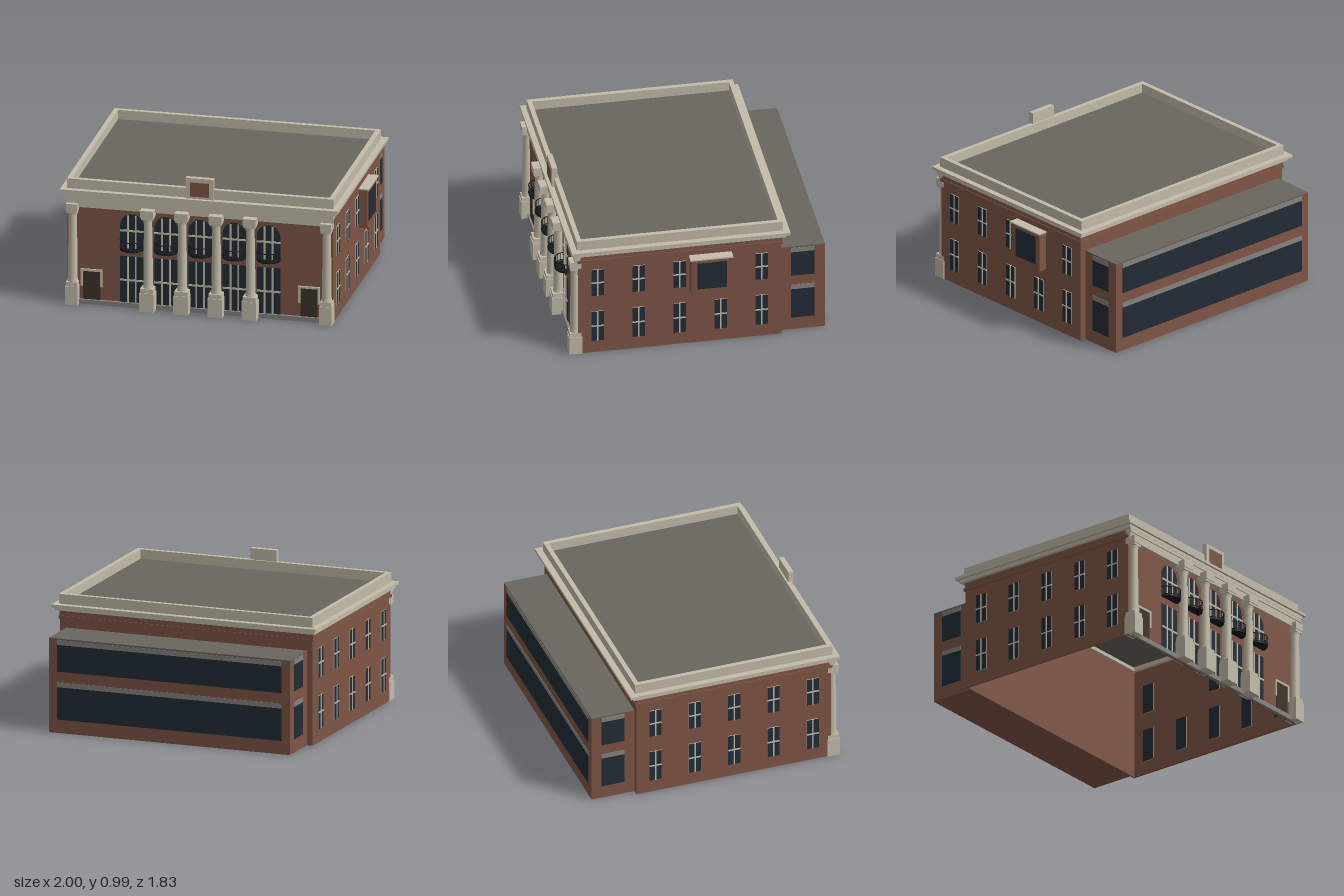
import * as THREE from 'three';

const mat = (name, color) => {
  const m = new THREE.MeshStandardMaterial({ color });
  m.name = name;
  return m;
};

export function createModel() {
  const brick = mat('brick', 0x7f5545);
  const stone = mat('stone', 0xc3bca9);
  const glass = mat('glass', 0x222d36);
  const roofing = mat('roofing', 0x69655e);
  const grey = mat('grey', 0x858481);
  const doorPaint = mat('doorPaint', 0x3b3429);
  const iron = mat('iron', 0x15191d);

  const model = new THREE.Group();
  model.name = 'building';
  model.position.x = -0.016;

  const add = (parent, name, geo, material) => {
    const m = new THREE.Mesh(geo, material);
    m.name = name;
    parent.add(m);
    return m;
  };
  const group = (name, x = 0, y = 0, z = 0) => {
    const g = new THREE.Group();
    g.name = name;
    g.position.set(x, y, z);
    model.add(g);
    return g;
  };
  // Box given by its limits on each axis
  const box = (parent, name, material, x0, x1, y0, y1, z0, z1) => {
    const m = add(parent, name, new THREE.BoxGeometry(x1 - x0, y1 - y0, z1 - z0), material);
    m.position.set((x0 + x1) / 2, (y0 + y1) / 2, (z0 + z1) / 2);
    return m;
  };
  // Rectangular ring running round the building
  const ring = (name, material, hx, zBack, zFront, t, y0, y1) => {
    const rect = (target, h, a, b) => {
      target.moveTo(-h, -b);
      target.lineTo(h, -b);
      target.lineTo(h, -a);
      target.lineTo(-h, -a);
      target.closePath();
      return target;
    };
    const s = rect(new THREE.Shape(), hx, zBack, zFront);
    s.holes.push(rect(new THREE.Path(), hx - t, zBack + t, zFront - t));
    const geo = new THREE.ExtrudeGeometry(s, { depth: y1 - y0, bevelEnabled: false });
    geo.rotateX(-Math.PI / 2);
    geo.translate(0, y0, 0);
    return add(model, name, geo, material);
  };

  // Hollow brick shell, brick string courses, cornice and parapet
  const WALL = 0.826, HALF = 0.94;
  ring('walls', brick, HALF, -0.6, WALL, 0.012, 0, 0.8);
  ring('lowerBrickCourse', brick, HALF + 0.01, -0.61, WALL + 0.005, 0.015, 0.735, 0.755);
  ring('upperBrickCourse', brick, HALF + 0.004, -0.605, WALL + 0.003, 0.01, 0.755, 0.797);
  ring('lowerCornice', stone, 0.965, -0.63, 0.86, 0.06, 0.795, 0.82);
  ring('upperCornice', stone, 0.985, -0.657, 0.876, 0.08, 0.82, 0.84);
  ring('parapet', stone, 0.944, -0.612, 0.836, 0.033, 0.838, 0.91);
  box(model, 'mainRoof', roofing, -0.912, 0.912, 0.825, 0.843, -0.58, 0.804);

  // Front entablature, plinth and raised parapet block
  box(model, 'architrave', stone, -0.945, 0.945, 0.712, 0.77, 0.815, 0.85);
  box(model, 'frieze', stone, -0.95, 0.95, 0.77, 0.8, 0.81, 0.858);
  box(model, 'plinth', grey, -0.9, 0.9, 0, 0.033, 0.82, 0.845);
  box(model, 'parapetBlock', stone, -0.098, 0.098, 0.838, 0.99, 0.815, 0.852);
  box(model, 'parapetPanel', brick, -0.067, 0.067, 0.857, 0.96, 0.85, 0.858);

  // Columns: four between the windows, one at each corner
  const column = (x, z, w) => {
    const g = group('column', x, 0, z);
    const h = w / 2, c = h * 0.9;
    box(g, 'columnBase', stone, -h, h, 0, 0.135, -h, h);
    box(g, 'columnBaseCap', stone, -c, c, 0.135, 0.167, -c, c);
    const r = 0.033;
    const profile = [[r * 1.12, 0.165], [r * 1.12, 0.18], [r, 0.19], [r, 0.35],
      [r * 0.86, 0.65], [r * 1.05, 0.66], [r * 1.05, 0.69]].map(p => new THREE.Vector2(...p));
    add(g, 'columnShaft', new THREE.LatheGeometry(profile, 16), stone);
    box(g, 'capitalNeck', stone, -c * 0.88, c * 0.88, 0.672, 0.69, -c * 0.88, c * 0.88);
    box(g, 'capital', stone, -c, c, 0.688, 0.74, -c, c);
  };
  const STEP = 0.242;
  for (const k of [-1.5, -0.5, 0.5, 1.5]) column(k * STEP, 0.858, 0.104);
  for (const s of [-1, 1]) column(s * 0.9, 0.843, 0.09);

  // Front bays: tall lower window, arched upper window and a curved balcony
  const W = 0.083;
  const arch = new THREE.Shape();
  arch.moveTo(-W, 0.43);
  arch.lineTo(W, 0.43);
  arch.lineTo(W, 0.597);
  arch.absarc(0, 0.597, W, 0, Math.PI);
  arch.closePath();
  const archGeo = new THREE.ExtrudeGeometry(arch, { depth: 0.02, bevelEnabled: false, curveSegments: 14 });
  const curve = y => new THREE.CatmullRomCurve3(Array.from({ length: 13 }, (_, i) => {
    const a = Math.PI * i / 12;
    return new THREE.Vector3(Math.cos(a) * W, y, Math.sin(a) * 0.08);
  }));
  const floorShape = new THREE.Shape();
  floorShape.absellipse(0, 0, W, 0.08, Math.PI, Math.PI * 2);
  const floorGeo = new THREE.ExtrudeGeometry(floorShape, { depth: 0.008, bevelEnabled: false });
  floorGeo.rotateX(-Math.PI / 2);
  for (let k = -2; k <= 2; k++) {
    const g = group('frontBay', k * STEP, 0, WALL);
    box(g, 'lowerWindow', glass, -W, W, 0.033, 0.37, -0.016, 0.004);
    add(g, 'archedWindow', archGeo, glass).position.z = -0.016;
    for (const x of [-0.028, 0.028]) {
      box(g, 'lowerMullion', stone, x - 0.006, x + 0.006, 0.033, 0.37, 0.003, 0.01);
      box(g, 'upperMullion', stone, x - 0.006, x + 0.006, 0.43, 0.67, 0.003, 0.01);
    }
    box(g, 'lowerTransom', stone, -W, W, 0.19, 0.203, 0.003, 0.009);
    box(g, 'upperTransom', stone, -W, W, 0.552, 0.565, 0.003, 0.009);
    add(g, 'balconyFloor', floorGeo, iron).position.y = 0.423;
    for (const y of [0.438, 0.494]) {
      add(g, 'balconyRail', new THREE.TubeGeometry(curve(y), 24, 0.0035, 5), iron);
    }
    for (let i = 0; i <= 10; i++) {
      const a = Math.PI * i / 10;
      const bar = add(g, 'baluster', new THREE.CylinderGeometry(0.002, 0.002, 0.066, 5), iron);
      bar.position.set(Math.cos(a) * W, 0.461, Math.sin(a) * 0.08);
    }
  }

  // Small doors at both ends of the front
  for (const s of [-1, 1]) {
    const g = group('frontDoor', s * 0.77, 0, WALL);
    box(g, 'door', doorPaint, -0.061, 0.061, 0.033, 0.24, -0.016, 0.005);
    box(g, 'doorHead', stone, -0.077, 0.077, 0.24, 0.255, -0.01, 0.012);
    for (const t of [-1, 1]) {
      box(g, 'doorJamb', stone, t * 0.069 - 0.008, t * 0.069 + 0.008, 0.13, 0.24, -0.01, 0.012);
    }
  }

  // Side windows: glass faces with stone edges and a cross bar
  const paneMaterials = [glass, glass, stone, stone, stone, stone];
  const sideWindow = (s, z, y0, y1, yBar) => {
    const g = group('sideWindow', s * HALF, 0, z);
    box(g, 'pane', paneMaterials, -0.018, 0.006, y0, y1, -0.044, 0.044);
    const x = s * 0.006;
    box(g, 'mullion', stone, x - 0.004, x + 0.004, y0, y1, -0.005, 0.005);
    box(g, 'transom', stone, x - 0.004, x + 0.004, yBar - 0.005, yBar + 0.005, -0.044, 0.044);
    g.children[0].position.x = s * -0.006;
  };
  for (const s of [-1, 1]) {
    for (let i = 0; i < 5; i++) {
      const z = 0.69 - i * 0.288;
      sideWindow(s, z, 0.095, 0.332, 0.215);
      if (s < 0 || i !== 3) sideWindow(s, z, 0.46, 0.67, 0.565);
    }
  }

  // Projecting bay window on the left side
  box(model, 'bayWindowBox', brick, HALF - 0.01, 1.0, 0.42, 0.7, -0.243, 0.043);
  box(model, 'bayWindowGlass', glass, 0.998, 1.004, 0.465, 0.673, -0.205, 0.0);
  box(model, 'bayWindowCap', stone, HALF - 0.01, 1.012, 0.7, 0.71, -0.25, 0.05);

  // Rear annex with ribbon windows and grey blinds
  box(model, 'annex', brick, -0.897, 0.897, 0, 0.665, -0.914, -0.6);
  box(model, 'annexRoof', roofing, -0.897, 0.897, 0.665, 0.671, -0.914, -0.6);
  for (const [y0, y1, y2] of [[0.095, 0.325, 0.36], [0.435, 0.625, 0.66]]) {
    for (const [name, m, a, b] of [['annexGlass', glass, y0, y1], ['annexBlind', grey, y1, y2]]) {
      box(model, name + 'Back', m, -0.835, 0.835, a, b, -0.917, -0.912);
      for (const s of [-1, 1]) {
        box(model, name + 'Side', m, s * 0.897 - 0.003, s * 0.897 + 0.003, a, b, -0.84, -0.675);
      }
    }
  }
  return model;
}
